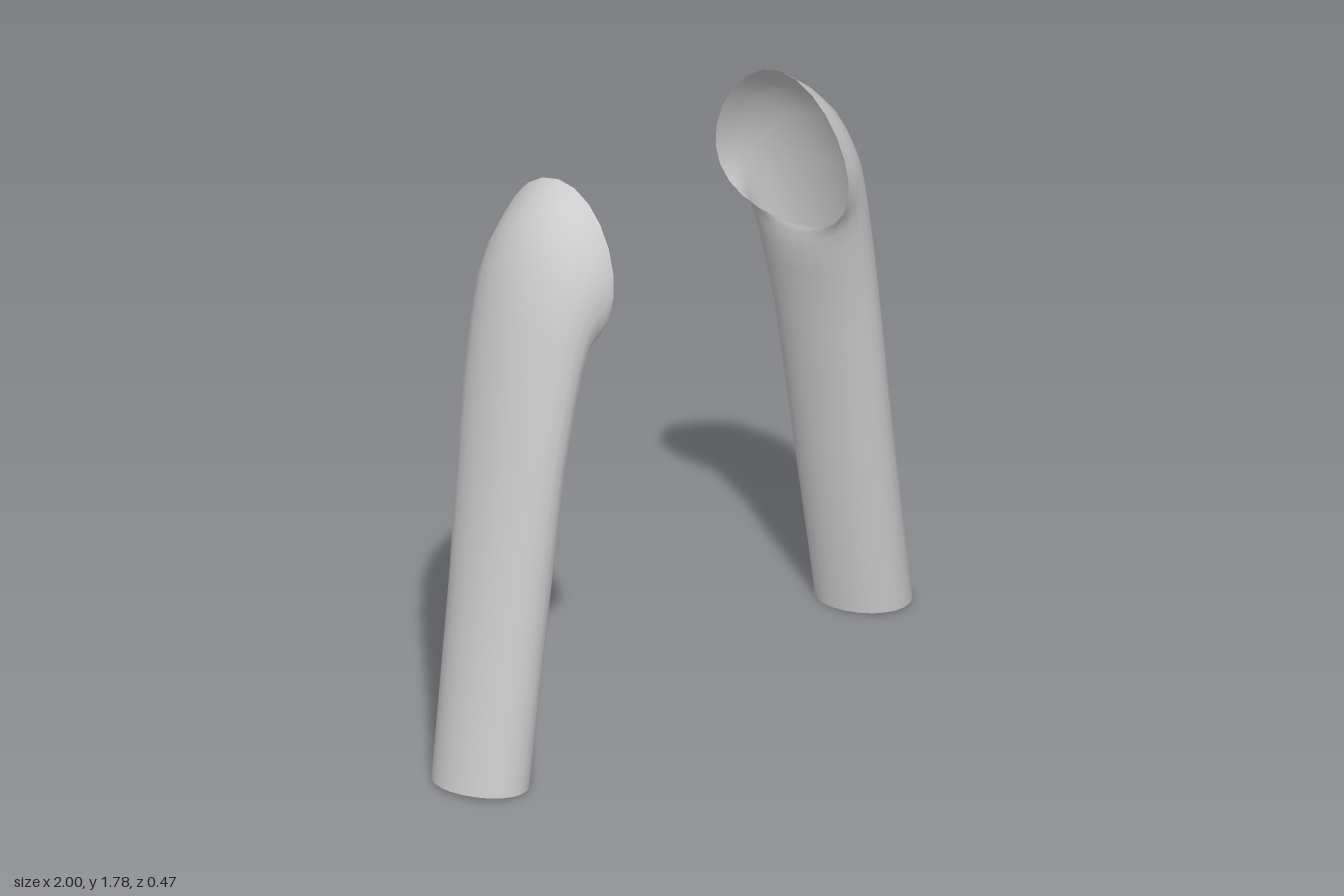
import * as THREE from 'three';

// Cross-sections from cuff to shoulder:
// outer x, outer y, inner x, inner y, front z, back z, back skew, sag
const RINGS = [
  [1.0, 0.01, 0.75, 0.0, 0.165, 0.14, 0, 0],
  [0.895, 0.6, 0.668, 0.56, 0.172, 0.16, 0, 0],
  [0.825, 1.0, 0.62, 0.94, 0.183, 0.18, 0, 0],
  [0.79, 1.2, 0.578, 1.12, 0.191, 0.193, 0, 0],
  [0.74, 1.42, 0.564, 1.2, 0.2, 0.203, -0.005, -0.01],
  [0.69, 1.58, 0.563, 1.235, 0.21, 0.212, -0.012, -0.02],
  [0.63, 1.68, 0.564, 1.255, 0.22, 0.222, -0.022, -0.03],
  [0.57, 1.735, 0.565, 1.265, 0.227, 0.23, -0.03, -0.04],
  [0.505, 1.78, 0.568, 1.275, 0.232, 0.236, -0.036, -0.045],
];
const SIDES = 24;

// Open tube lofted through the rings; side is +1 (left) or -1 (right)
function sleeveGeometry(side) {
  const positions = [];
  const indices = [];
  for (const [ox, oy, ix, iy, front, back, skew, sag] of RINGS) {
    for (let j = 0; j < SIDES; j++) {
      const a = (j / SIDES) * Math.PI * 2;
      const c = Math.cos(a), s = Math.sin(a);
      const x = (ox + ix) / 2 + (c * (ox - ix)) / 2 + (s < 0 ? skew * s * s : 0);
      const y = (oy + iy) / 2 + (c * (oy - iy)) / 2 + sag * s * s;
      positions.push(side * x, y, s * (s > 0 ? front : back));
    }
  }
  for (let i = 0; i < RINGS.length - 1; i++) {
    for (let j = 0; j < SIDES; j++) {
      const a = i * SIDES + j;
      const b = i * SIDES + ((j + 1) % SIDES);
      const c = a + SIDES, d = b + SIDES;
      if (side > 0) indices.push(a, c, b, b, c, d);
      else indices.push(a, b, c, b, d, c);
    }
  }
  const geometry = new THREE.BufferGeometry();
  geometry.setAttribute('position', new THREE.Float32BufferAttribute(positions, 3));
  geometry.setIndex(indices);
  geometry.computeVertexNormals();
  return geometry;
}

export function createModel() {
  const group = new THREE.Group();
  group.name = 'sleeves';
  const cloth = new THREE.MeshStandardMaterial({ color: 0xcccccc, side: THREE.DoubleSide });
  for (const [name, side] of [['leftSleeve', 1], ['rightSleeve', -1]]) {
    const sleeve = new THREE.Mesh(sleeveGeometry(side), cloth);
    sleeve.name = name;
    group.add(sleeve);
  }
  return group;
}
